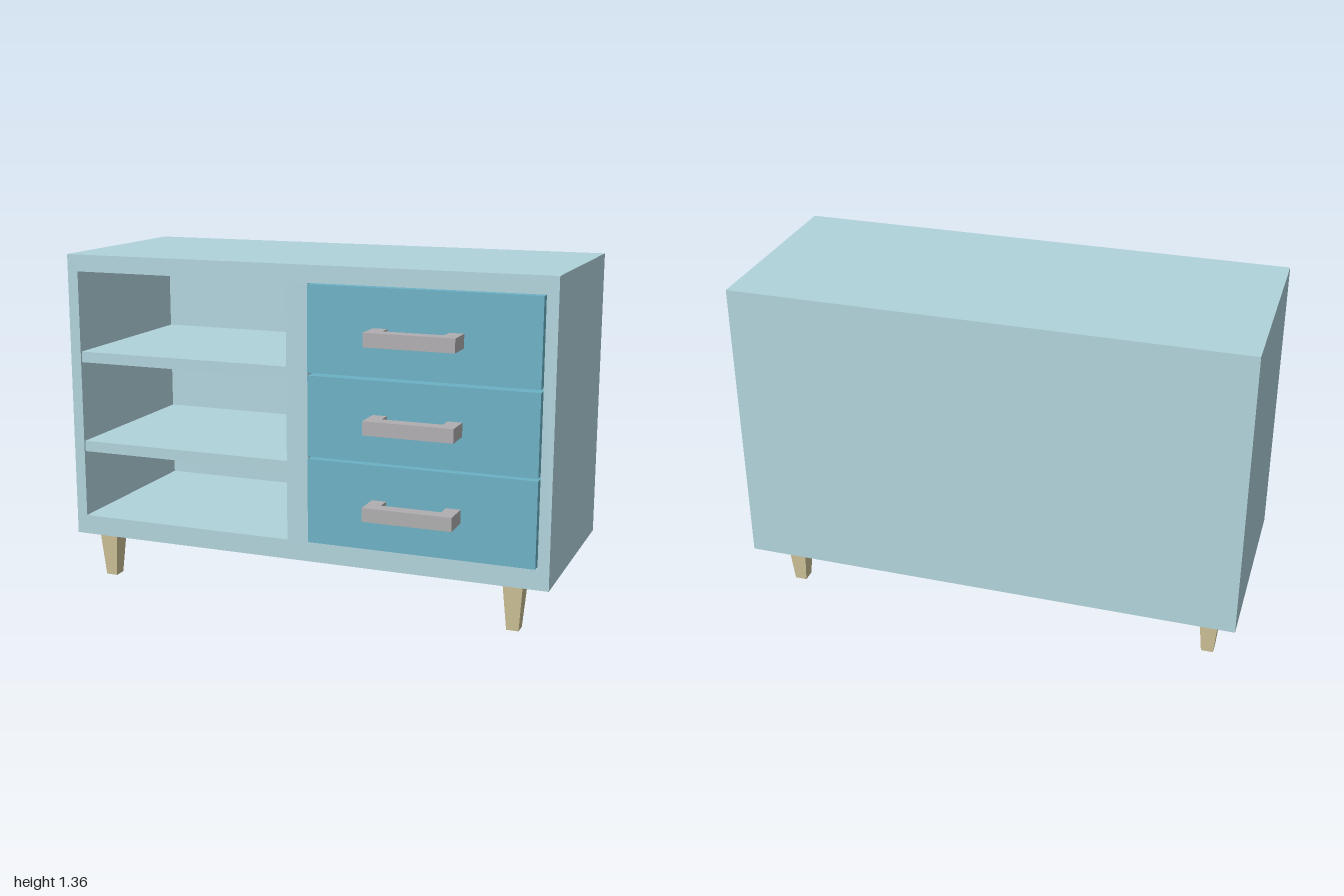
import * as THREE from 'three';

const paint = (color) => new THREE.MeshStandardMaterial({ color, flatShading: true });
const bodyPaint = paint(0xb1d3dc);
const drawerPaint = paint(0x6cb1c5);
const handlePaint = paint(0xb0aeb0);
const legPaint = paint(0xd0c49a);

// Box given by its lower and upper limits on each axis
function box(name, [x0, x1], [y0, y1], [z0, z1], material) {
  const mesh = new THREE.Mesh(new THREE.BoxGeometry(x1 - x0, y1 - y0, z1 - z0), material);
  mesh.position.set((x0 + x1) / 2, (y0 + y1) / 2, (z0 + z1) / 2);
  mesh.name = name;
  return mesh;
}

function rectangle(Type, x0, x1, y0, y1) {
  return new Type([[x0, y0], [x1, y0], [x1, y1], [x0, y1]].map(([x, y]) => new THREE.Vector2(x, y)));
}

const BOTTOM = 0.194, TOP = 1.358, BACK = -0.471, FRONT = 0.349, BACK_WALL = 0.045;

function createCabinet() {
  const cabinet = new THREE.Group();
  cabinet.name = 'cabinet';

  // Frame with one opening for the shelves and one for the drawers
  const outline = rectangle(THREE.Shape, -1, 1, BOTTOM, TOP);
  outline.holes.push(
    rectangle(THREE.Path, -0.955, -0.046, 0.273, 1.29),
    rectangle(THREE.Path, 0.043, 0.955, 0.273, 1.29)
  );
  const frame = new THREE.Mesh(
    new THREE.ExtrudeGeometry(outline, { depth: FRONT - BACK - BACK_WALL, bevelEnabled: false }),
    bodyPaint
  );
  frame.position.z = BACK + BACK_WALL;
  frame.name = 'frame';
  cabinet.add(frame);
  cabinet.add(box('backPanel', [-1, 1], [BOTTOM, TOP], [BACK, BACK + BACK_WALL], bodyPaint));

  // Two open shelves
  for (const top of [0.963, 0.59]) {
    cabinet.add(box('shelf', [-0.955, -0.046], [top - 0.044, top], [BACK + BACK_WALL, 0.341], bodyPaint));
  }
  return cabinet;
}

// Drawer with a U-shaped pull handle
function createDrawer(bottom, top, handleY) {
  const drawer = new THREE.Group();
  drawer.name = 'drawer';
  const front = 0.358;
  drawer.add(box('drawerBox', [0.045, 0.949], [bottom, top], [-0.4, front], drawerPaint));

  const u = new THREE.Shape();
  [[0.31, 0], [0.367, 0], [0.367, 0.057], [0.603, 0.057], [0.603, 0], [0.66, 0], [0.66, 0.113], [0.31, 0.113]]
    .forEach(([x, z], i) => (i ? u.lineTo(x, z) : u.moveTo(x, z)));
  const handle = new THREE.Mesh(
    new THREE.ExtrudeGeometry(u, { depth: 0.054, bevelEnabled: false }),
    handlePaint
  );
  handle.rotation.x = Math.PI / 2;
  handle.position.set(0, handleY + 0.027, front);
  handle.name = 'handle';
  drawer.add(handle);
  return drawer;
}

// Square leg tapering to the floor
function createLeg(x, z) {
  const geometry = new THREE.CylinderGeometry(Math.SQRT1_2, Math.SQRT1_2 * 0.61, BOTTOM, 4);
  geometry.rotateY(Math.PI / 4);
  geometry.scale(0.079, 1, 0.085);
  const leg = new THREE.Mesh(geometry, legPaint);
  leg.position.set(x, BOTTOM / 2, z);
  leg.name = 'leg';
  return leg;
}

export function createModel() {
  const model = new THREE.Group();
  model.name = 'sideboard';
  model.add(createCabinet());

  for (const [bottom, top, handleY] of [[0.276, 0.611, 0.447], [0.621, 0.938, 0.779], [0.949, 1.286, 1.108]]) {
    model.add(createDrawer(bottom, top, handleY));
  }
  for (const [x, z] of [[-0.887, 0.255], [0.853, 0.263], [-0.887, -0.338], [0.853, -0.338]]) {
    model.add(createLeg(x, z));
  }
  return model;
}
